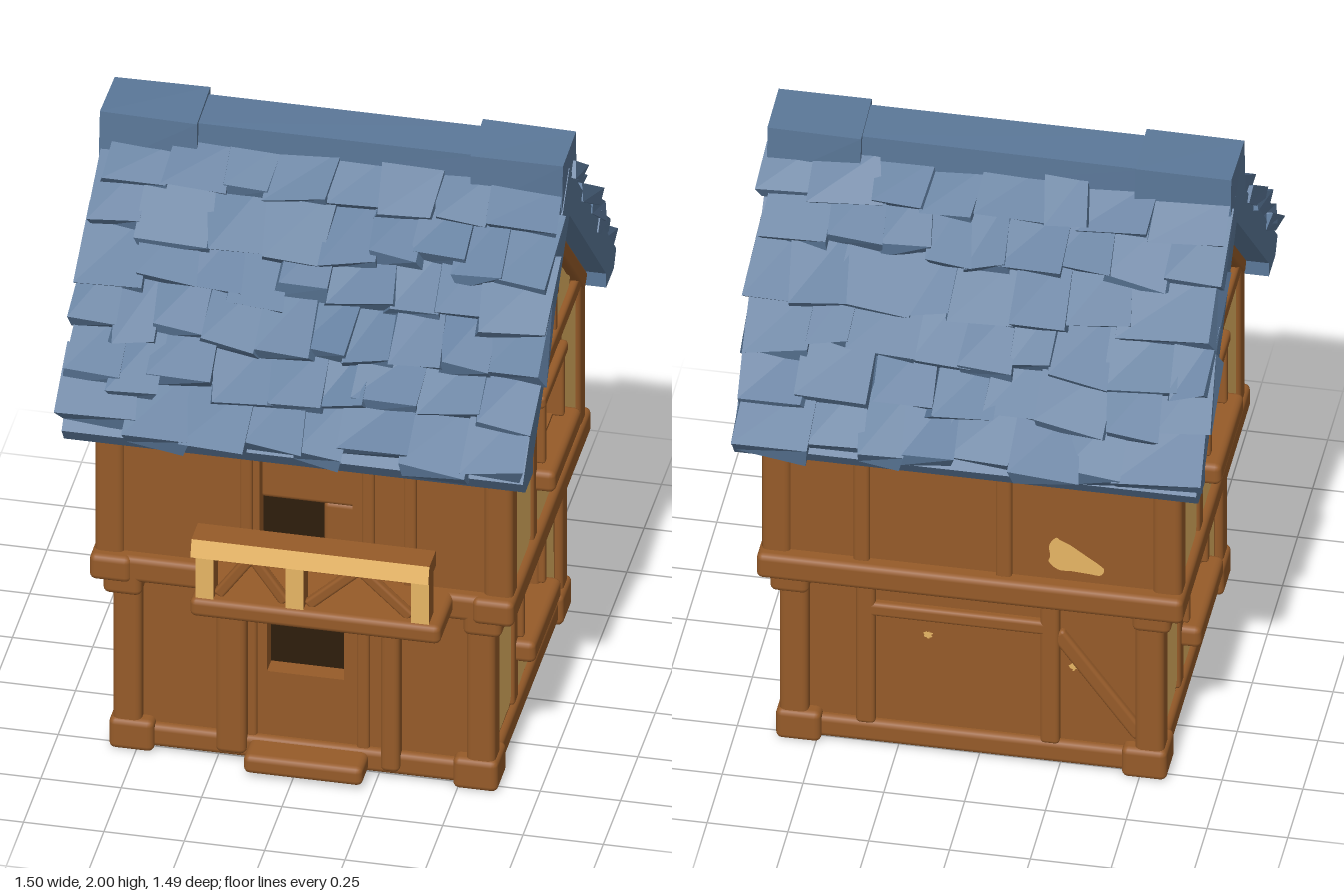
import * as THREE from 'three';
import { RoundedBoxGeometry } from 'three/addons/geometries/RoundedBoxGeometry.js';

const mat = (name, color) => {
  const m = new THREE.MeshStandardMaterial({ color });
  m.name = name;
  return m;
};

export function createModel() {
  const wood = mat('timber brown', 0x965b29);
  const cream = mat('plaster cream', 0xe8b665);
  const slate = mat('slate blue', 0x5b7899);
  const dark = mat('dark interior', 0x2e1d0c);

  let seed = 11;
  const rnd = () => (seed = (seed * 16807) % 2147483647) / 2147483647;
  const jit = (a) => (rnd() * 2 - 1) * a;

  const model = new THREE.Group();
  model.name = 'timberHouse';

  const group = (name, parent = model, ry = 0, x = 0, z = 0) => {
    const g = new THREE.Group();
    g.name = name;
    g.rotation.y = ry;
    g.position.set(x, 0, z);
    parent.add(g);
    return g;
  };
  const add = (parent, name, geo, m) => {
    const mesh = new THREE.Mesh(geo, m);
    mesh.name = name;
    parent.add(mesh);
    return mesh;
  };

  // Rounded timber given by its x, y and z ranges
  const beam = (parent, name, x0, x1, y0, y1, z0, z1, rz = 0) => {
    const w = x1 - x0, h = y1 - y0, d = z1 - z0;
    const r = Math.min(0.02, Math.min(w, h, d) * 0.3);
    const mesh = add(parent, name, new RoundedBoxGeometry(w, h, d, 2, r), wood);
    mesh.position.set((x0 + x1) / 2, (y0 + y1) / 2, (z0 + z1) / 2);
    mesh.rotation.z = rz;
    return mesh;
  };
  // Timber running between two points on a wall
  const brace = (parent, name, xa, ya, xb, yb, width, z0, z1) => {
    const len = Math.hypot(xb - xa, yb - ya), cx = (xa + xb) / 2, cy = (ya + yb) / 2;
    return beam(parent, name, cx - len / 2, cx + len / 2, cy - width / 2, cy + width / 2, z0, z1,
      Math.atan2(yb - ya, xb - xa));
  };
  // Flat wall with rectangular holes, outer face at z = face
  const wall = (parent, name, pts, holes, face, t = 0.06) => {
    const s = new THREE.Shape(pts.map((p) => new THREE.Vector2(...p)));
    for (const [x0, x1, y0, y1] of holes) {
      s.holes.push(new THREE.Path([[x0, y0], [x0, y1], [x1, y1], [x1, y0]].map((p) => new THREE.Vector2(...p))));
    }
    const g = new THREE.ExtrudeGeometry(s, { depth: t, bevelEnabled: false });
    g.translate(0, 0, face - t);
    return add(parent, name, g, wood);
  };
  // Plaster infill with softened corners and slightly wavy edges
  const plaster = (parent, corners, z) => {
    const pts = [], n = corners.length;
    corners.forEach((c, i) => {
      const a = new THREE.Vector2(...c), b = new THREE.Vector2(...corners[(i + 1) % n]);
      const f = Math.min(0.25, 0.03 / a.distanceTo(b));
      for (const t of [f, 0.36, 0.64, 1 - f]) {
        const p = a.clone().lerp(b, t);
        pts.push(new THREE.Vector3(p.x + jit(0.004), p.y + jit(0.004), 0));
      }
    });
    const curve = new THREE.CatmullRomCurve3(pts, true, 'centripetal');
    const shape = new THREE.Shape(curve.getPoints(64).map((p) => new THREE.Vector2(p.x, p.y)));
    const panel = add(parent, 'plasterPanel', new THREE.ShapeGeometry(shape), cream);
    panel.position.z = z;
    return panel;
  };
  const rect = (x0, x1, y0, y1) => [[x0, y0], [x1, y0], [x1, y1], [x0, y1]];

  const house = group('house', model, 0, 0.02, 0);

  // Gable sides
  const makeGable = (name, ry) => {
    const g = group(name, house, ry);
    const L = 0.57, U = 0.63;
    wall(g, 'lowerSideWall', rect(-0.51, 0.51, 0.02, 0.65), [[-0.13, 0.15, 0.32, 0.52]], L);
    wall(g, 'upperSideWall', [[-0.53, 0.65], [0.53, 0.65], [0.53, 1.23], [0, 1.77], [-0.53, 1.23]],
      [[-0.1, 0.14, 0.95, 1.15]], U);
    for (const p of [[-0.415, -0.205, 0.12, 0.57], [0.23, 0.405, 0.12, 0.575], [-0.13, 0.13, 0.11, 0.215]]) {
      plaster(g, rect(...p), L + 0.006);
    }
    for (const p of [[-0.43, -0.2, 0.71, 1.2], [0.215, 0.455, 0.71, 1.2], [-0.115, 0.135, 0.71, 0.845],
      [-0.1, 0.13, 1.275, 1.37]]) plaster(g, rect(...p), U + 0.006);
    plaster(g, [[-0.35, 1.28], [-0.15, 1.28], [-0.15, 1.5], [-0.2, 1.46]], U + 0.006);
    plaster(g, [[0.145, 1.28], [0.385, 1.28], [0.2, 1.46], [0.145, 1.52]], U + 0.006);
    plaster(g, [[-0.08, 1.455], [0.115, 1.455], [0.105, 1.58], [0.06, 1.675], [-0.03, 1.675], [-0.075, 1.6]], U + 0.006);

    // Inner face of the panel below the window
    const inner = plaster(g, rect(-0.12, 0.12, 0.115, 0.22), L - 0.066);
    inner.rotation.y = Math.PI;

    // Timber framing
    for (const s of [-1, 1]) {
      const c = s * 0.175;
      beam(g, 'lowerStud', c - 0.03, c + 0.03, 0.1, 0.63, L - 0.02, L + 0.016);
      beam(g, 'upperStud', c - 0.03, c + 0.03, 0.7, 1.24, U - 0.02, U + 0.016);
      beam(g, 'gableStud', s * 0.137 - 0.016, s * 0.137 + 0.016, 1.25, 1.56, U - 0.02, U + 0.015);
      brace(g, 'rafter', s * 0.52, 1.19, 0, 1.72, 0.06, U - 0.02, U + 0.025);
    }
    beam(g, 'lowerCap', -0.5, 0.5, 0.575, 0.64, L - 0.02, L + 0.03);
    beam(g, 'tieBeam', -0.5, 0.5, 1.205, 1.265, U - 0.02, U + 0.022);
    beam(g, 'collarBeam', -0.15, 0.15, 1.385, 1.445, U - 0.02, U + 0.02);
    beam(g, 'baseBeam', -0.5, 0.5, 0.01, 0.095, L - 0.13, L + 0.02);
    beam(g, 'midBeam', -0.57, 0.57, 0.62, 0.71, U - 0.1, U + 0.03);

    // Windows
    const frame = (x0, x1, y0, y1, f, wide) => {
      for (const x of [x0 - 0.03, x1]) beam(g, 'windowJamb', x, x + 0.03, y0, y1 + 0.02, f - 0.06, f + 0.035);
      beam(g, 'windowLintel', x0 - 0.05, x1 + 0.05, y1, y1 + 0.045, f - 0.06, f + 0.04);
      beam(g, 'windowSill', x0 - wide, x1 + wide, y0 - 0.075, y0, f - 0.06, f + 0.075);
    };
    frame(-0.13, 0.15, 0.32, 0.52, L, 0.055);
    frame(-0.1, 0.14, 0.94, 1.15, U, 0.075);
    beam(g, 'windowShutter', -0.12, 0.16, 0.93, 1.17, U - 0.085, U - 0.055);
    beam(g, 'windowSlat', -0.11, 0.15, 1.03, 1.06, U - 0.06, U - 0.03, -0.05);
    beam(g, 'windowSlat', -0.11, 0.15, 1.1, 1.12, U - 0.06, U - 0.03, 0.04);
  };
  makeGable('rightGable', Math.PI / 2);
  makeGable('leftGable', -Math.PI / 2);

  // Front side
  const front = group('front', house);
  const F = 0.5, G = 0.52;
  wall(front, 'lowerFrontWall', rect(-0.57, 0.57, 0.02, 0.65), [[-0.12, 0.12, 0.32, 0.53]], F);
  wall(front, 'upperFrontWall', rect(-0.63, 0.63, 0.65, 1.22), [[-0.14, 0.15, 0.72, 1.14]], G);
  add(front, 'doorWindowDark', new THREE.BoxGeometry(0.26, 0.23, 0.008), dark).position.set(0, 0.425, F - 0.066);
  add(front, 'balconyDoorDark', new THREE.BoxGeometry(0.31, 0.26, 0.008), dark).position.set(0, 0.82, G - 0.066);
  beam(front, 'balconyDoorPanel', -0.15, 0.16, 0.93, 1.16, G - 0.1, G - 0.045);
  beam(front, 'balconyDoorLeaf', 0.05, 0.16, 0.7, 0.94, G - 0.1, G - 0.045);
  for (const [x, w] of [[-0.225, 0.095], [0.27, 0.06]]) {
    beam(front, 'doorPost', x - w / 2, x + w / 2, 0.03, 0.63, F - 0.02, F + 0.045);
    beam(front, 'balconyBracket', x - w / 2 - 0.015, x + w / 2 + 0.015, 0.58, 0.65, F, F + 0.09);
  }
  beam(front, 'doorHeader', -0.2, 0.26, 0.585, 0.64, F - 0.02, F + 0.035);
  for (const x of [-0.17, 0.18]) beam(front, 'doorStile', x - 0.02, x + 0.02, 0.08, 0.59, F - 0.02, F + 0.012);
  for (const x of [-0.2, 0.18, 0.31]) beam(front, 'upperFrontStud', x, x + 0.04, 0.7, 1.2, G - 0.02, G + 0.012);
  beam(front, 'doorStep', -0.17, 0.2, 0.015, 0.08, F - 0.02, 0.62);
  beam(front, 'baseBeam', -0.56, 0.56, 0.01, 0.09, F - 0.12, F + 0.025);
  beam(front, 'midBeam', -0.65, 0.65, 0.62, 0.71, G - 0.1, G + 0.04);

  // Boxed entry behind the door, dark underneath
  const entry = add(front, 'entryBox', new THREE.BoxGeometry(0.25, 0.53, 0.23), [wood, wood, wood, dark, wood, wood]);
  entry.position.set(0, 0.37, 0.312);

  // Balcony: rail and posts are plaster coloured on the front only
  const balcony = group('balcony');
  beam(balcony, 'balconyFloor', -0.29, 0.49, 0.645, 0.71, 0.5, 0.745);
  const painted = [wood, wood, wood, wood, cream, wood];
  const railGeo = new THREE.BoxGeometry(0.74, 0.055, 0.11).toNonIndexed();
  const rp = railGeo.attributes.position;
  for (let i = 0; i < rp.count; i++) if (rp.getY(i) > 0 && rp.getZ(i) > 0) rp.setZ(i, 0.037);
  railGeo.computeVertexNormals();
  add(balcony, 'handrail', railGeo, painted).position.set(0.085, 0.893, 0.695);
  for (const x of [-0.245, 0.035, 0.425]) {
    add(balcony, 'baluster', new THREE.BoxGeometry(0.055, 0.17, 0.07), painted).position.set(x, 0.785, 0.695);
  }
  for (const [a, b] of [[-0.21, 0.0], [0.07, 0.39]]) {
    const m = (a + b) / 2;
    brace(balcony, 'balconyBrace', a, 0.71, m, 0.86, 0.035, 0.68, 0.71);
    brace(balcony, 'balconyBrace', m, 0.86, b, 0.71, 0.035, 0.68, 0.71);
  }

  // Back side
  const back = group('back', house, Math.PI);
  wall(back, 'lowerBackWall', rect(-0.57, 0.57, 0.02, 0.65), [], F);
  wall(back, 'upperBackWall', rect(-0.63, 0.63, 0.65, 1.22), [], G);
  for (const x of [-0.33, 0.24]) beam(back, 'lowerBackStud', x - 0.03, x + 0.03, 0.08, 0.63, F - 0.02, F + 0.025);
  for (const x of [-0.34, 0.1]) beam(back, 'upperBackStud', x - 0.025, x + 0.025, 0.7, 1.21, G - 0.02, G + 0.018);
  beam(back, 'backRail', -0.33, 0.24, 0.49, 0.54, F - 0.02, F + 0.025);
  brace(back, 'backBrace', 0.26, 0.5, 0.52, 0.14, 0.05, F - 0.02, F + 0.02);
  plaster(back, [[0.24, 0.75], [0.43, 0.75], [0.33, 0.84], [0.24, 0.88]], G + 0.006);
  plaster(back, rect(-0.15, -0.125, 0.42, 0.445), F + 0.006);
  plaster(back, rect(0.3, 0.325, 0.36, 0.385), F + 0.006);
  beam(back, 'baseBeam', -0.56, 0.56, 0.01, 0.09, F - 0.12, F + 0.025);
  beam(back, 'midBeam', -0.65, 0.65, 0.62, 0.71, G - 0.1, G + 0.05);

  // Corners and upper floor
  for (const sx of [-1, 1]) for (const sz of [-1, 1]) {
    const corner = (name, cx, cz, w, y0, y1) =>
      beam(house, name, sx * cx - w / 2, sx * cx + w / 2, y0, y1, sz * cz - w / 2, sz * cz + w / 2);
    corner('cornerFoot', 0.535, 0.475, 0.14, 0, 0.11);
    corner('lowerCornerPost', 0.55, 0.49, 0.09, 0.08, 0.64);
    corner('cornerBracket', 0.56, 0.5, 0.12, 0.57, 0.66);
    corner('upperCornerPost', 0.605, 0.49, 0.09, 0.68, 1.22);
  }
  add(house, 'upperFloor', new THREE.BoxGeometry(1.12, 0.05, 0.98), wood).position.y = 0.66;

  // Roof slab
  const roof = group('roof', model, 0, 0, -0.015);
  const half = [[0.53, 1.21], [0.53, 1.16], [0.64, 1.16], [0.675, 1.21]];
  const profile = [[0, 1.76], ...half, [0, 1.93], ...half.slice().reverse().map(([a, b]) => [-a, b])];
  const slab = new THREE.ExtrudeGeometry(new THREE.Shape(profile.map((p) => new THREE.Vector2(...p))),
    { depth: 1.435, bevelEnabled: false });
  slab.rotateY(Math.PI / 2);
  slab.translate(-0.705, 0, 0);
  add(roof, 'roofSlab', slab, slate);

  // Uneven box: each of the eight corners is moved, faces stay flat shaded
  const roughBox = (w, h, d, a) => {
    const g = new THREE.BoxGeometry(w, h, d).toNonIndexed();
    const p = g.attributes.position, moved = {};
    for (let i = 0; i < p.count; i++) {
      const key = [p.getX(i) > 0, p.getY(i) > 0, p.getZ(i) > 0].join();
      const o = (moved[key] ??= [jit(a), jit(a * 0.5), jit(a)]);
      p.setXYZ(i, p.getX(i) + o[0], p.getY(i) + o[1], p.getZ(i) + o[2]);
    }
    g.computeVertexNormals();
    return g;
  };

  // Overlapping shingle rows on both slopes, the top row cut short under the ridge
  const A = Math.PI / 4;
  for (const ry of [0, Math.PI]) {
    const slope = group(ry ? 'backShingles' : 'frontShingles', roof, ry, ry ? 0.02 : 0);
    for (let k = 0; k < 6; k++) {
      const len = k ? 0.25 : 0.17;
      let x = -0.7 + jit(0.02);
      while (x < 0.68) {
        let w = 0.12 + rnd() * 0.09;
        if (x + w > 0.62) w = 0.725 - x + jit(0.015);
        const s = 0.1 + 0.152 * k - len / 2 + jit(k ? 0.03 : 0.012), h = 0.148 - 0.01 * k + jit(0.008);
        const tile = add(slope, 'shingle', roughBox(w + 0.015, 0.055, len, 0.018), slate);
        tile.position.set(x + w / 2, 1.76 + (h - s) * Math.SQRT1_2, (s + h) * Math.SQRT1_2);
        tile.rotation.set(A - 0.15 + jit(0.04), jit(0.05), jit(0.05));
        x += w;
      }
    }
  }

  // Ridge caps
  for (const [x0, x1, w, top] of [[-0.71, -0.41, 0.205, 1.998], [-0.43, 0.46, 0.165, 1.988], [0.44, 0.73, 0.205, 1.998]]) {
    const cap = add(roof, 'ridgeCap', roughBox(x1 - x0, 0.2, w, 0.004), slate);
    cap.position.set((x0 + x1) / 2, top - 0.1, -0.005);
  }
  return model;
}
